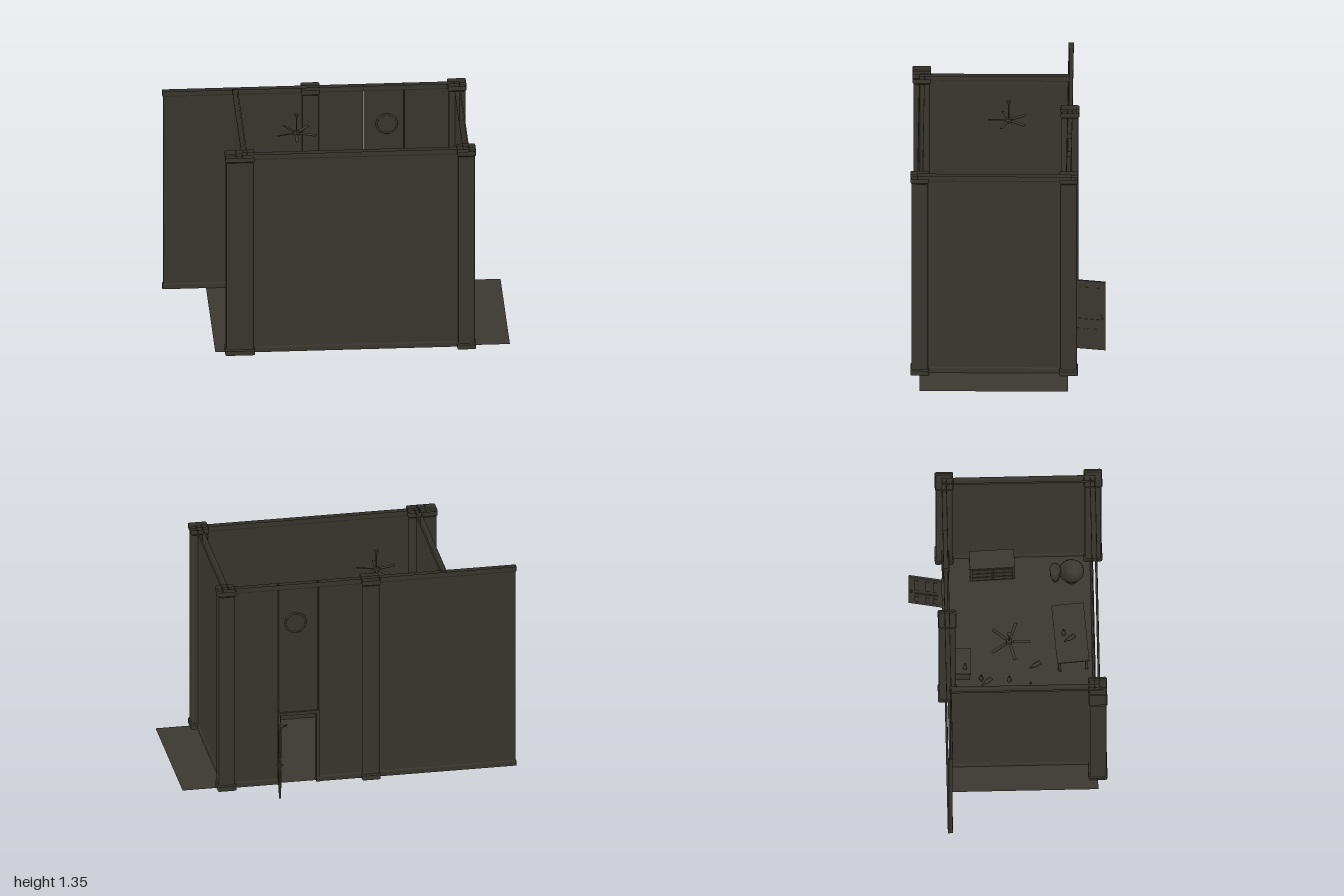
import * as THREE from 'three';

const charcoal = new THREE.MeshStandardMaterial({ color: 0x3a382f, side: THREE.DoubleSide });
charcoal.name = 'charcoal';
const FLOOR = 0.054, TOP = 1.35;

function add(parent, name, geometry, x = 0, y = 0, z = 0, ry = 0) {
  const mesh = new THREE.Mesh(geometry, charcoal);
  mesh.name = name;
  mesh.position.set(x, y, z);
  mesh.rotation.y = ry;
  parent.add(mesh);
  return mesh;
}

function group(parent, name, x, y, z, ry = 0) {
  const g = new THREE.Group();
  g.name = name;
  g.position.set(x, y, z);
  g.rotation.y = ry;
  parent.add(g);
  return g;
}

const box = (w, h, d) => new THREE.BoxGeometry(w, h, d);
const cyl = (r1, r2, h, n = 16) => new THREE.CylinderGeometry(r1, r2, h, n);
const lathe = (pts, n = 16) => new THREE.LatheGeometry(pts.map(p => new THREE.Vector2(...p)), n);

// Hollow rounded-rectangle shell, open at both ends; levels are [y, outward offset]
function shell(w, d, r, levels) {
  const pos = [], rings = levels.map(([y, o]) => {
    const ring = [];
    for (let c = 0; c < 4; c++) for (let s = 0; s <= 3; s++) {
      const a = (c + s / 3) * Math.PI / 2;
      const sx = c === 0 || c === 3 ? 1 : -1, sz = c < 2 ? 1 : -1;
      ring.push([sx * (w / 2 + o - r) + r * Math.cos(a), y, sz * (d / 2 + o - r) + r * Math.sin(a)]);
    }
    return ring;
  });
  for (let k = 0; k + 1 < rings.length; k++) {
    const a = rings[k], b = rings[k + 1];
    for (let i = 0; i < a.length; i++) {
      const j = (i + 1) % a.length;
      pos.push(...a[i], ...b[i], ...a[j], ...a[j], ...b[i], ...b[j]);
    }
  }
  const g = new THREE.BufferGeometry();
  g.setAttribute('position', new THREE.Float32BufferAttribute(pos, 3));
  g.computeVertexNormals();
  return g;
}

// Mouldings at the foot and head of walls and pillars
const foot = o => [[FLOOR, o], [FLOOR + 0.028, o], [FLOOR + 0.036, 0]];
const head = o => [[TOP - 0.036, 0], [TOP - 0.028, o], [TOP, o]];

function wall(parent, name, x0, x1, z0, z1, bottom = foot(0.004)) {
  add(parent, name, shell(x1 - x0 - 0.008, z1 - z0 - 0.008, 0.004, [...bottom, ...head(0.004)]),
    (x0 + x1) / 2, 0, (z0 + z1) / 2);
}

function legs(parent, w, d, h, t) {
  for (const sx of [-1, 1]) for (const sz of [-1, 1])
    add(parent, 'leg', box(t, h, t), sx * (w - t) / 2, h / 2, sz * (d - t) / 2);
}

function bottle(parent, x, y, z, lying = null) {
  const g = lathe([[0, 0], [0.012, 0], [0.012, 0.04], [0.005, 0.054], [0.005, 0.072], [0, 0.072]], 12);
  const m = add(parent, 'bottle', g, x, y, z);
  if (lying !== null) m.rotation.set(Math.PI / 2, 0, lying, 'XYZ');
}

function makeDoor(parent) {
  // Hinged on the far jamb and swung outward
  const door = group(parent, 'door', 0.42, FLOOR, -0.375, Math.atan2(0.2, 0.035));
  add(door, 'doorLeaf', box(0.205, 0.448, 0.012), 0.1025, 0.226, 0);
  for (const s of [-1, 1]) {
    for (const u of [0.045, 0.092, 0.155]) {
      add(door, 'upperPanel', box(0.026, 0.165, 0.004), u, 0.327, s * 0.007);
      add(door, 'lowerPanel', box(0.026, 0.083, 0.004), u, 0.095, s * 0.007);
    }
    add(door, 'middlePanel', box(0.14, 0.022, 0.004), 0.098, 0.19, s * 0.007);
    add(door, 'handlePlate', box(0.014, 0.04, 0.004), 0.188, 0.212, s * 0.008);
    add(door, 'knob', new THREE.SphereGeometry(0.006, 12, 8), 0.188, 0.212, s * 0.013);
  }
  for (const x of [0.19, 0.423]) add(parent, 'doorJamb', box(0.02, 0.455, 0.044), x, FLOOR + 0.2275, -0.363);
  add(parent, 'doorLintel', box(0.253, 0.02, 0.044), 0.3065, FLOOR + 0.455, -0.363);
}

function makeFan(parent) {
  const fan = group(parent, 'ceilingFan', -0.23, 1.225, 0);
  add(fan, 'fanRod', cyl(0.004, 0.004, 0.12, 10), 0, 0.06, 0);
  add(fan, 'fanCanopy', cyl(0.014, 0.008, 0.018), 0, 0.116, 0);
  add(fan, 'fanMotor', cyl(0.016, 0.02, 0.024), 0, 0, 0);
  for (let i = 0; i < 5; i++) {
    const arm = group(fan, 'fanBlade', 0, 0, 0, -(20 + 72 * i) * Math.PI / 180);
    add(arm, 'blade', box(0.1, 0.003, 0.018), 0.072, 0, 0).rotation.x = 0.2;
  }
}

function makeBed(parent) {
  const bed = group(parent, 'bed', -0.34, FLOOR, 0.045, -0.06);
  legs(bed, 0.3, 0.575, 0.09, 0.02);
  for (const s of [-1, 1]) {
    add(bed, 'sideRail', box(0.016, 0.035, 0.575), s * 0.142, 0.075, 0);
    add(bed, 'endRail', box(0.3, 0.045, 0.016), 0, 0.08, s * 0.28);
  }
  add(bed, 'mattress', shell(0.27, 0.545, 0.02, [[0.055, -0.004], [0.06, 0], [0.1, 0], [0.106, -0.004]]));
  add(bed, 'mattressTop', box(0.262, 0.004, 0.537), 0, 0.104, 0);
  const pillow = add(bed, 'pillow', new THREE.SphereGeometry(1, 24, 12), 0, 0.122, -0.205);
  // Square off the ball into a cushion
  const p = pillow.geometry.attributes.position;
  for (let i = 0; i < p.count; i++) {
    const sq = v => Math.sign(v) * Math.pow(Math.abs(v), 0.5);
    p.setXYZ(i, 0.086 * sq(p.getX(i)), 0.02 * p.getY(i), 0.06 * sq(p.getZ(i)));
  }
  pillow.geometry.computeVertexNormals();
}

function makeFurniture(parent) {
  const stand = group(parent, 'nightstand', 0.035, FLOOR, -0.283);
  add(stand, 'cabinet', box(0.15, 0.105, 0.115), 0, 0.0575, 0);
  add(stand, 'cabinetTop', box(0.162, 0.01, 0.125), 0, 0.115, 0);
  add(stand, 'drawer', box(0.12, 0.06, 0.006), 0, 0.065, 0.058);

  const table = group(parent, 'table', 0.18, FLOOR, 0.37, 0.075);
  add(table, 'tableTop', box(0.365, 0.012, 0.19), 0, 0.16, 0);
  legs(table, 0.35, 0.175, 0.155, 0.016);

  const dresser = group(parent, 'dresser', 0.64, FLOOR, -0.083, 0.04);
  add(dresser, 'dresserBody', box(0.115, 0.2, 0.265), 0, 0.1, 0);
  for (const y of [0.04, 0.1, 0.16]) {
    add(dresser, 'dresserDrawer', box(0.006, 0.048, 0.24), -0.059, y, 0);
    add(dresser, 'drawerKnob', new THREE.SphereGeometry(0.006, 10, 8), -0.064, y, 0);
  }

  // Round basin seat with a small rear tank
  const seat = group(parent, 'basinSeat', 0.592, FLOOR, 0.385);
  add(seat, 'basin', lathe([[0, 0], [0.045, 0], [0.04, 0.03], [0.07, 0.085], [0.075, 0.1], [0.068, 0.1],
    [0.058, 0.085], [0.03, 0.05], [0, 0.045]], 28));
  add(seat, 'tank', lathe([[0, 0], [0.03, 0], [0.042, 0.06], [0.044, 0.13], [0.03, 0.145], [0, 0.147]], 24),
    0, 0, -0.095).scale.z = 0.75;

  // Scattered bottles, standing and lying
  bottle(parent, -0.072, 0, 0.13);
  bottle(parent, -0.04, FLOOR, -0.16);
  bottle(parent, -0.05, FLOOR, 0.005);
  bottle(parent, -0.01, FLOOR + 0.12, -0.255);
  bottle(parent, 0.175, FLOOR + 0.166, 0.33);
  bottle(parent, -0.035, FLOOR + 0.005, -0.1, 2.5);
  bottle(parent, 0.06, FLOOR + 0.005, 0.19, 2.6);
  bottle(parent, 0.16, FLOOR + 0.178, 0.395, 2.6);
  bottle(parent, 0.3, FLOOR + 0.005, 0.38, 1.2);
}

export function createModel() {
  const room = new THREE.Group();
  room.name = 'room';

  add(room, 'floor', new THREE.PlaneGeometry(1.74, 0.875).rotateX(-Math.PI / 2), 0.128, FLOOR, 0.0775);

  // Walls, the back one split around the doorway
  wall(room, 'frontWall', -0.585, 0.757, 0.497, 0.53);
  wall(room, 'rightWall', -0.585, -0.553, -0.36, 0.53);
  wall(room, 'leftWall', 0.722, 0.757, -0.378, 0.53);
  wall(room, 'backWallLong', -1, 0.19, -0.378, -0.347);
  wall(room, 'backWallShort', 0.423, 0.757, -0.378, -0.347);
  wall(room, 'backWallOverDoor', 0.185, 0.428, -0.378, -0.347, [[FLOOR + 0.45, 0]]);

  // Pillars with flared feet and heads
  for (const [x, z] of [[-0.125, -0.363], [0.74, -0.363], [0.74, 0.515], [-0.565, 0.515], [-0.63, 0.515]])
    add(room, 'pillar', shell(0.098, 0.098, 0.012, [...foot(0.006), ...head(0.006)]), x, 0, z);

  // Round plaque above the doorway, on both faces
  for (const z of [-0.379, -0.346]) {
    add(room, 'roundRim', new THREE.TorusGeometry(0.06, 0.006, 10, 40), 0.325, 1.1, z);
    add(room, 'roundPane', cyl(0.058, 0.058, 0.006, 40), 0.325, 1.1, z).rotation.x = Math.PI / 2;
  }

  makeDoor(room);
  makeFan(room);
  makeBed(room);
  makeFurniture(room);
  return room;
}
